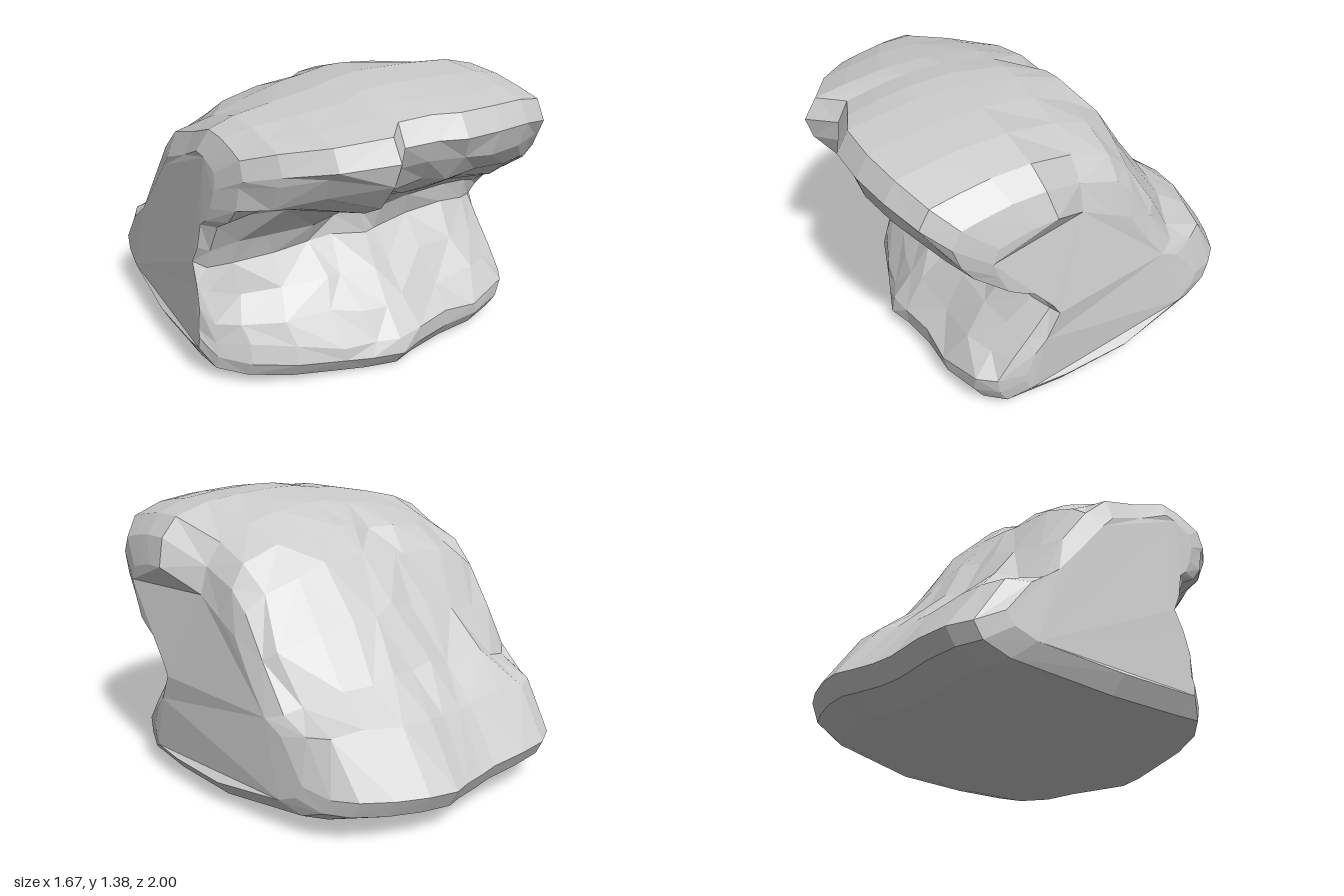
import * as THREE from 'three';

// Side profile of the boulder as [z, y]: up the front, over the lip, down the back, along the base
const PROFILE = [
  [0.72, 0.01], [0.78, 0.09], [0.77, 0.17], [0.66, 0.30], [0.53, 0.44], [0.39, 0.59],
  [0.41, 0.71], [0.57, 0.83], [0.73, 0.90], [0.86, 0.98], [0.94, 1.10], [0.98, 1.21], [0.92, 1.31],
  [0.78, 1.34], [0.60, 1.37], [0.38, 1.38], [0.10, 1.34], [-0.12, 1.25], [-0.25, 1.14],
  [-0.42, 0.90], [-0.60, 0.65], [-0.80, 0.48], [-1.00, 0.21], [-0.95, 0.12], [-0.80, 0.06],
  [-0.20, 0.00], [0.25, 0.00],
];

// Slices across the width: x, bottom y, top y, lip z, base front z, back z scale
const SLICES = [
  [-0.84, 0.16, 1.12, 0.43, 0.30, 0.72],
  [-0.79, 0.07, 1.22, 0.58, 0.38, 0.84],
  [-0.68, 0.05, 1.27, 0.72, 0.50, 0.90],
  [-0.50, 0.035, 1.31, 0.88, 0.61, 0.92],
  [-0.27, 0.01, 1.35, 1.00, 0.68, 0.92],
  [-0.15, 0.00, 1.36, 0.88, 0.72, 0.94],
  [0.00, 0.00, 1.38, 0.93, 0.77, 0.97],
  [0.12, 0.00, 1.38, 0.98, 0.73, 1.00],
  [0.32, 0.01, 1.37, 0.97, 0.70, 0.98],
  [0.52, 0.02, 1.35, 0.93, 0.70, 0.93],
  [0.70, 0.04, 1.30, 0.86, 0.65, 0.86],
  [0.79, 0.06, 1.21, 0.76, 0.56, 0.77],
  [0.83, 0.12, 1.08, 0.60, 0.44, 0.64],
];

function seeded(seed) {
  return () => {
    seed = (seed * 16807) % 2147483647;
    return seed / 2147483647 - 0.5;
  };
}

function createBoulderGeometry() {
  const rand = seeded(4711);

  // Fit the profile to each slice, narrowing toward the back
  const rings = SLICES.map(([x, bottom, top, lip, base, back]) =>
    PROFILE.map(([pz, py]) => {
      let z = pz;
      const upper = py > 0.62;
      if (pz > 0.2) z = 0.2 + (pz - 0.2) * (upper ? (lip - 0.2) / 0.78 : (base - 0.2) / 0.58);
      else if (pz < 0) z = pz * back;
      let y = bottom + py * (top - bottom) / 1.38;
      // The left lip rides higher; the upper back corners are worn down
      if (upper && pz > 0.5 && py < 1.15 && x < -0.3) y += 0.05;
      if (upper && pz < 0.2) y -= (x > 0 ? 0.12 : 0.06) * x * x;
      const narrowing = 1 - Math.max(0, -z) * (x < 0 ? 0.16 : 0.27);
      const lean = 1 - py * (pz < 0.2 ? (x < 0 ? 0.07 : 0.10) : (x < 0 ? 0.05 : 0));
      // Chipped, uneven stone; base and outermost points stay put
      const rough = py > 0.15 && py < 1.3 && Math.abs(pz) < 0.95 ? 1 : 0;
      const dx = rand() * 0.07 * (Math.abs(x) < 0.75 ? rough : 0);
      y += rand() * 0.045 * rough;
      z += rand() * 0.035 * rough;
      return new THREE.Vector3(x * narrowing * lean + dx, y, z);
    }));

  const positions = [];
  const triangle = (a, b, c) => [a, b, c].forEach((v) => positions.push(v.x, v.y, v.z));

  // Skin between neighbouring slices, with varied diagonals
  for (let s = 0; s < rings.length - 1; s++) {
    for (let i = 0; i < PROFILE.length; i++) {
      const j = (i + 1) % PROFILE.length;
      const [a, b, c, d] = [rings[s][i], rings[s + 1][i], rings[s + 1][j], rings[s][j]];
      if (rand() > 0) {
        triangle(a, b, c);
        triangle(a, c, d);
      } else {
        triangle(a, b, d);
        triangle(b, c, d);
      }
    }
  }

  // Close both flanks
  [[rings[0], -1], [rings[rings.length - 1], 1]].forEach(([ring, side]) => {
    const outline = ring.map((v) => new THREE.Vector2(v.z, v.y));
    THREE.ShapeUtils.triangulateShape(outline, []).forEach(([i, j, k]) => {
      const [a, b, c] = [ring[i], ring[j], ring[k]];
      const nx = (b.y - a.y) * (c.z - a.z) - (b.z - a.z) * (c.y - a.y);
      if (nx * side > 0) triangle(a, b, c);
      else triangle(a, c, b);
    });
  });

  const geometry = new THREE.BufferGeometry();
  geometry.setAttribute('position', new THREE.Float32BufferAttribute(positions, 3));
  geometry.computeVertexNormals();
  return geometry;
}

export function createModel() {
  const group = new THREE.Group();
  group.name = 'overhangingRock';
  const boulder = new THREE.Mesh(
    createBoulderGeometry(),
    new THREE.MeshStandardMaterial({ color: 0xcccccc, flatShading: true }),
  );
  boulder.name = 'boulder';
  group.add(boulder);
  return group;
}
